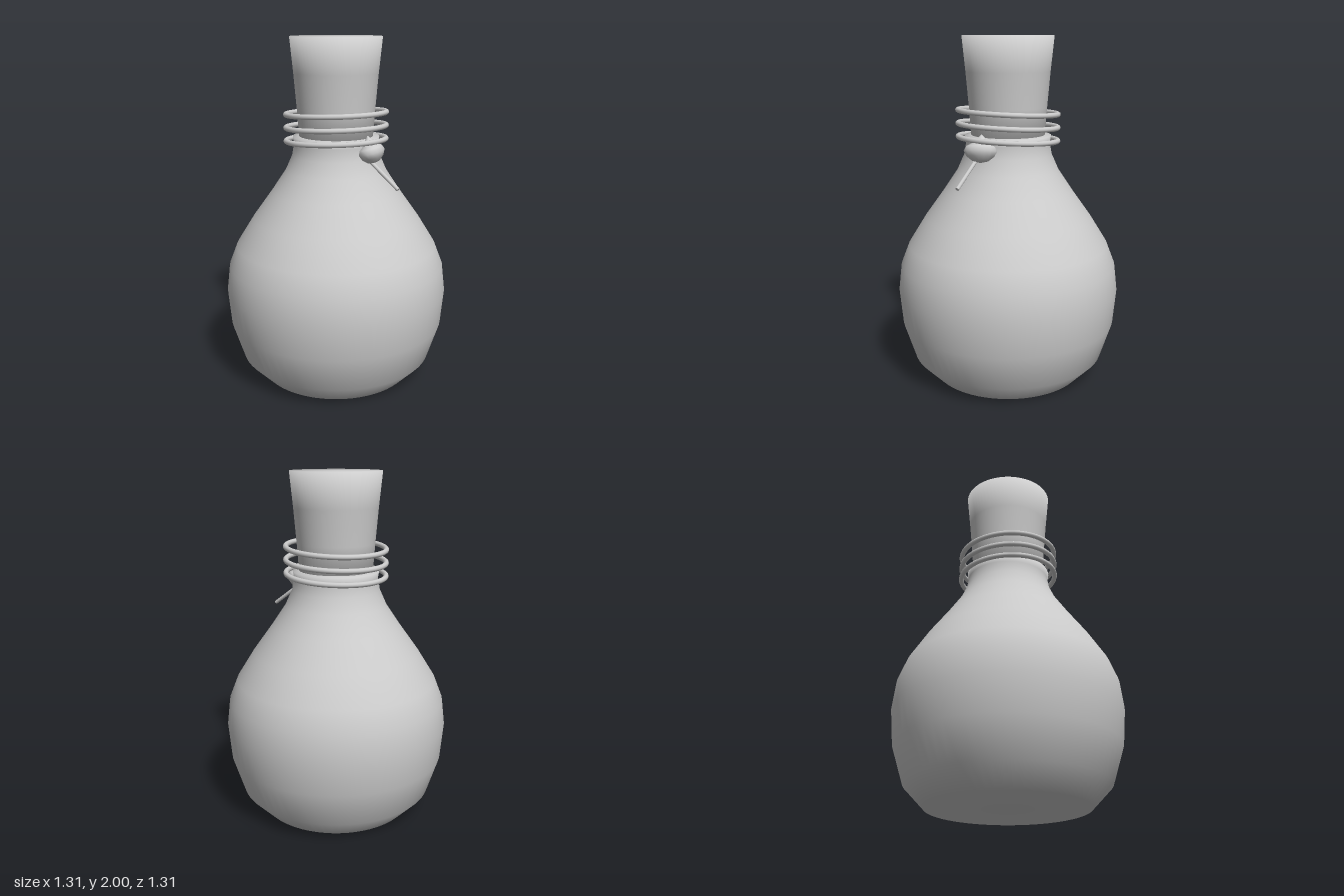
import * as THREE from 'three';

const material = new THREE.MeshStandardMaterial({ color: 0xcccccc, side: THREE.DoubleSide });

function lathe(name, points, segments) {
  const profile = points.map(([r, y]) => new THREE.Vector2(r, y));
  const mesh = new THREE.Mesh(new THREE.LatheGeometry(profile, segments), material);
  mesh.name = name;
  return mesh;
}

export function createModel() {
  const model = new THREE.Group();
  model.name = 'flask';

  // Round body with a narrow neck and a flat base
  model.add(lathe('body', [
    [0, 0], [0.455, 0], [0.57, 0.12], [0.637, 0.33], [0.655, 0.53], [0.637, 0.68],
    [0.59, 0.8], [0.49, 0.96], [0.375, 1.12], [0.295, 1.24], [0.255, 1.33],
    [0.243, 1.4], [0.25, 1.44], [0.2, 1.445],
  ], 64));

  // Tapered stopper, wider at the top
  model.add(lathe('stopper', [
    [0, 1.36], [0.208, 1.36], [0.225, 1.6], [0.242, 1.8], [0.262, 2], [0, 2],
  ], 64));

  // Three loose rings around the neck, tilted up toward the front left
  const ringNormal = new THREE.Vector3(-0.04, 1, -0.04).normalize();
  const ringGeometry = new THREE.TorusGeometry(0.289, 0.015, 10, 64);
  for (const y of [1.42, 1.496, 1.572]) {
    const ring = new THREE.Mesh(ringGeometry, material);
    ring.name = 'neckRing';
    ring.quaternion.setFromUnitVectors(new THREE.Vector3(0, 0, 1), ringNormal);
    ring.position.y = y;
    model.add(ring);
  }

  // Flattened bead with a pointed tip, hanging from the lowest ring
  const up = new THREE.Vector3(0, 1, 0);
  const bead = lathe('bead', [
    [0, -0.06], [0.045, -0.05], [0.08, -0.025], [0.098, 0.005], [0.085, 0.03],
    [0.05, 0.05], [0.025, 0.075], [0, 0.1],
  ], 16);
  bead.scale.x = 0.78;
  bead.position.set(0.235, 1.37, 0.11);
  bead.quaternion.setFromUnitVectors(up, new THREE.Vector3(-0.25, 1, 0).normalize());
  model.add(bead);

  // Thin pin sticking out below the bead
  const start = new THREE.Vector3(0.225, 1.335, 0.13);
  const end = new THREE.Vector3(0.407, 1.192, 0.204);
  const along = end.clone().sub(start);
  const pin = new THREE.Mesh(new THREE.CylinderGeometry(0.011, 0.011, along.length(), 10), material);
  pin.name = 'pin';
  pin.position.copy(start).add(end).multiplyScalar(0.5);
  pin.quaternion.setFromUnitVectors(up, along.normalize());
  model.add(pin);

  return model;
}
